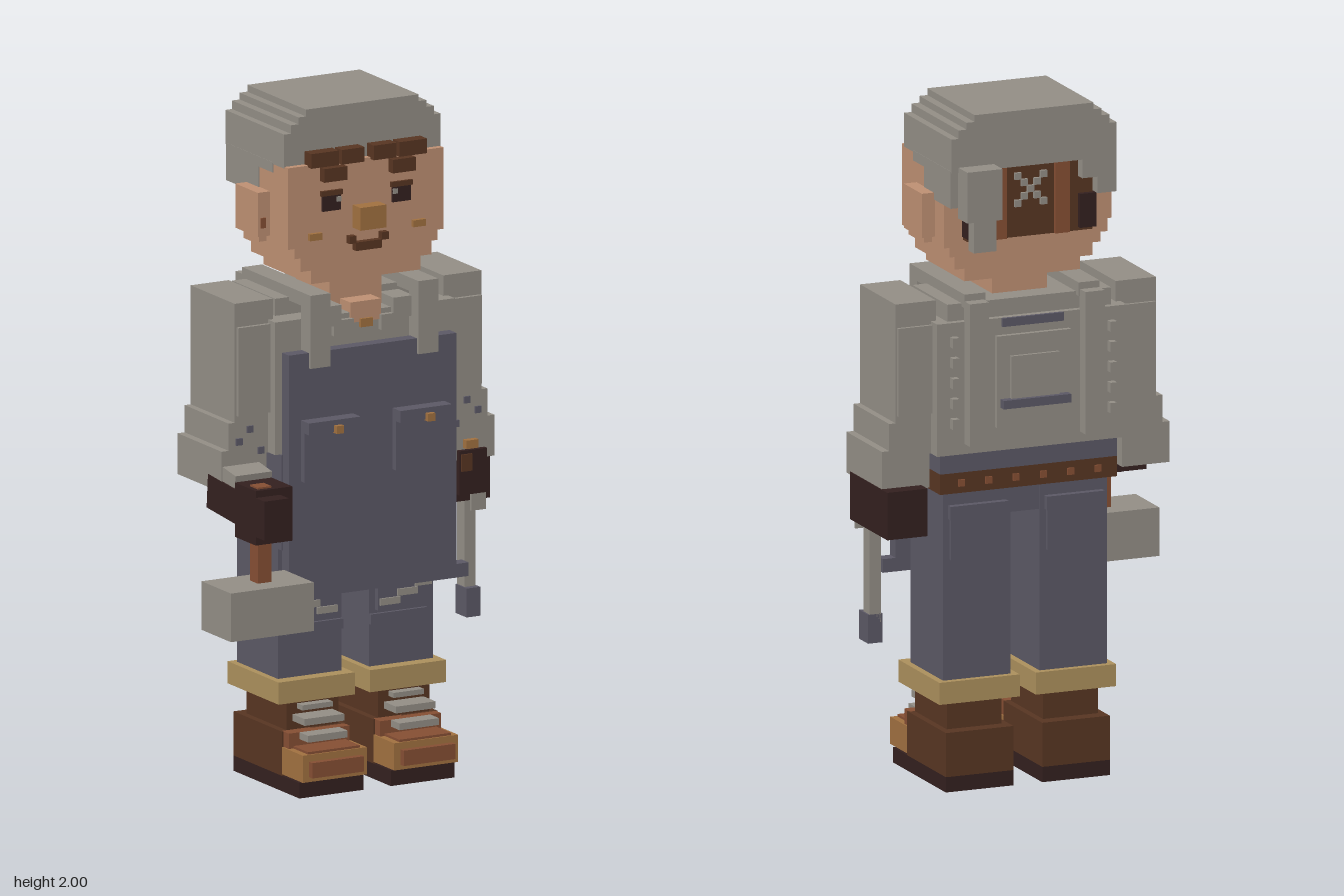
import * as THREE from 'three';

const mat = (name, color) => { const m = new THREE.MeshStandardMaterial({ color }); m.name = name; return m; };

export function createModel() {
  const model = new THREE.Group();
  model.name = 'blacksmith';
  const gray = mat('grayCloth', 0x928d85), skin = mat('skin', 0xbd8f72), slate = mat('slateCloth', 0x5b5865),
    dark = mat('darkLeather', 0x33201f), brown = mat('brownLeather', 0x573522), rust = mat('rustLeather', 0x854e33),
    wood = mat('amber', 0xa07040), khaki = mat('khakiCuff', 0xab8f5c);

  const group = (name) => { const g = new THREE.Group(); g.name = name; model.add(g); return g; };
  // Box given by its extents on each axis
  const box = (g, name, m, x0, x1, y0, y1, z0, z1) => {
    const mesh = new THREE.Mesh(new THREE.BoxGeometry(x1 - x0, y1 - y0, z1 - z0), m);
    mesh.position.set((x0 + x1) / 2, (y0 + y1) / 2, (z0 + z1) / 2);
    mesh.name = name;
    g.add(mesh);
    return mesh;
  };
  const CX = 0.055; // body centre line
  // Pair of boxes mirrored about the body centre, u measured outward
  const pair = (g, name, m, u0, u1, ...r) => {
    box(g, name + 'Left', m, CX + u0, CX + u1, ...r);
    box(g, name + 'Right', m, CX - u1, CX - u0, ...r);
  };

  // Boots and trousers
  const legs = group('legs');
  pair(legs, 'sole', dark, 0.045, 0.255, 0, 0.045, -0.21, 0.17);
  pair(legs, 'bootHeel', brown, 0.045, 0.255, 0.045, 0.175, -0.21, 0.07);
  pair(legs, 'bootToe', wood, 0.045, 0.255, 0.05, 0.13, 0.07, 0.19);
  pair(legs, 'bootVamp', rust, 0.05, 0.25, 0.13, 0.175, 0.06, 0.1);
  pair(legs, 'toeCap', rust, 0.065, 0.235, 0.065, 0.11, 0.19, 0.21);
  pair(legs, 'toeTop', rust, 0.065, 0.235, 0.11, 0.137, 0.07, 0.185);
  pair(legs, 'bootShaft', brown, 0.065, 0.235, 0.175, 0.265, -0.17, 0.06);
  [[0.2, 0.13], [0.155, 0.15]].forEach(([y, z]) => pair(legs, 'lace', gray, 0.085, 0.215, y, y + 0.02, 0.05, z));
  pair(legs, 'laceUpper', gray, 0.1, 0.2, 0.235, 0.25, 0.05, 0.09);
  pair(legs, 'trouserCuff', khaki, 0.025, 0.275, 0.26, 0.325, -0.21, 0.085);
  pair(legs, 'trouserLeg', slate, 0.045, 0.255, 0.32, 0.9, -0.19, 0.045);
  pair(legs, 'kneePad', slate, 0.065, 0.24, 0.49, 0.575, 0.045, 0.06);
  pair(legs, 'shinFold', slate, 0.045, 0.23, 0.45, 0.48, 0.045, 0.055);
  // Worn flecks on the knees
  for (let i = 0; i < 14; i++) {
    const u = 0.07 + ((i * 5) % 14) * 0.0115, y = 0.505 + (i * 7 % 3) * 0.022;
    pair(legs, 'kneeFleck', gray, u, u + 0.02, y, y + 0.02, 0.058, 0.066);
  }
  box(legs, 'hips', slate, -0.2, 0.31, 0.8, 0.9, -0.185, 0.045);
  pair(legs, 'backPocket', slate, 0.065, 0.235, 0.68, 0.82, -0.2, -0.19);
  pair(legs, 'backPocketFlap', slate, 0.06, 0.24, 0.8, 0.84, -0.21, -0.19);

  // Torso with belt and collar
  const torso = group('torso');
  box(torso, 'belt', brown, -0.22, 0.33, 0.88, 0.94, -0.215, 0.08);
  for (let i = 0; i < 6; i++) box(torso, 'beltStud', rust, -0.17 + i * 0.085, -0.15 + i * 0.085, 0.9, 0.92, -0.221, -0.213);
  box(torso, 'shirtTail', slate, -0.22, 0.33, 0.94, 1.01, -0.215, 0.08);
  box(torso, 'shirt', gray, -0.24, 0.35, 1.0, 1.39, -0.24, 0.1);
  box(torso, 'shoulderYoke', gray, -0.2, 0.31, 1.39, 1.44, -0.22, 0.03);
  pair(torso, 'collar', gray, 0.085, 0.15, 1.36, 1.42, -0.12, 0.115);
  pair(torso, 'collarTip', gray, 0.045, 0.11, 1.33, 1.375, 0.09, 0.115);
  box(torso, 'collarButton', wood, 0.035, 0.075, 1.345, 1.37, 0.09, 0.112);
  // Back panel
  box(torso, 'backPanel', gray, -0.06, 0.17, 1.07, 1.34, -0.255, -0.24);
  box(torso, 'backPouch', gray, -0.02, 0.13, 1.14, 1.28, -0.265, -0.255);
  box(torso, 'backBar', slate, -0.05, 0.16, 1.13, 1.155, -0.28, -0.25);
  box(torso, 'backSlot', slate, -0.04, 0.15, 1.365, 1.39, -0.25, -0.235);
  for (let i = 0; i < 5; i++) pair(torso, 'backStitch', gray, 0.235, 0.255, 1.08 + i * 0.06, 1.11 + i * 0.06, -0.262, -0.24);

  // Apron, straps and pockets
  const apron = group('apron');
  box(apron, 'apronPanel', slate, -0.22, 0.33, 0.6, 1.3, 0.105, 0.145);
  box(apron, 'apronHem', slate, -0.23, 0.37, 0.58, 0.62, 0.105, 0.145);
  pair(apron, 'apronSide', slate, 0.255, 0.28, 0.72, 1.0, 0.05, 0.11);
  pair(apron, 'strapFront', gray, 0.145, 0.21, 1.255, 1.47, 0.1, 0.155);
  pair(apron, 'strapTop', gray, 0.145, 0.21, 1.43, 1.47, -0.24, 0.105);
  pair(apron, 'strapBack', gray, 0.15, 0.21, 1.03, 1.45, -0.278, -0.235);
  pair(apron, 'pocket', slate, 0.065, 0.235, 0.925, 1.075, 0.145, 0.165);
  pair(apron, 'pocketFlap', slate, 0.065, 0.235, 1.07, 1.105, 0.145, 0.19);
  for (const x of [-0.085, 0.215]) box(apron, 'pocketButton', wood, x - 0.012, x + 0.012, 1.067, 1.09, 0.18, 0.205);

  // Sleeves
  const arms = group('arms');
  pair(arms, 'sleeve', gray, 0.28, 0.405, 1.0, 1.45, -0.195, 0.06);
  pair(arms, 'sleeveFold', gray, 0.28, 0.4, 1.12, 1.38, -0.205, 0.072);
  pair(arms, 'sleeveLower', gray, 0.3, 0.425, 0.95, 1.1, -0.195, 0.06);
  pair(arms, 'sleeveCuff', gray, 0.3, 0.448, 0.9, 1.02, -0.195, 0.06);
  for (let i = 0; i < 6; i++) {
    const u = 0.31 + (i * 4 % 6) * 0.018, y = 1.0 + (i % 3) * 0.033;
    pair(arms, 'sleeveFleck', slate, u, u + 0.02, y, y + 0.02, 0.058, 0.066);
  }
  pair(arms, 'cuffButton', wood, 0.345, 0.385, 0.935, 0.96, 0.06, 0.08);

  // Left glove holding a chisel
  box(arms, 'gloveLeft', dark, 0.38, 0.505, 0.77, 0.91, -0.24, 0.03);
  box(arms, 'gloveLeftWrist', dark, 0.38, 0.47, 0.8, 0.93, 0.02, 0.075);
  box(arms, 'gloveLeftPatch', brown, 0.385, 0.42, 0.87, 0.92, 0.072, 0.08);
  box(arms, 'chiselBlade', gray, 0.445, 0.48, 0.48, 0.83, -0.055, -0.01);
  box(arms, 'chiselSheath', slate, 0.44, 0.485, 0.42, 0.505, -0.055, 0.01);
  box(arms, 'chiselGuard', gray, 0.44, 0.487, 0.74, 0.83, 0.03, 0.038);

  // Right forearm reaching forward
  const fore = box(arms, 'forearmRight', gray, -0.39, -0.27, 0.89, 0.98, -0.08, 0.13);
  fore.rotation.x = 0.15;
  const band = box(arms, 'forearmGlove', dark, -0.395, -0.28, 0.83, 0.93, -0.02, 0.2);
  band.rotation.x = 0.08;
  box(arms, 'gloveRight', dark, -0.4, -0.28, 0.79, 0.95, 0.15, 0.27);
  box(arms, 'gloveRightKnuckles', dark, -0.4, -0.32, 0.815, 0.93, 0.26, 0.32);
  box(arms, 'sleeveTrim', wood, -0.31, -0.29, 0.93, 0.96, 0.06, 0.13);

  // Hammer
  const hammer = group('hammer');
  box(hammer, 'hammerHandle', rust, -0.385, -0.34, 0.66, 0.955, 0.21, 0.255);
  box(hammer, 'hammerHead', gray, -0.51, -0.238, 0.53, 0.673, 0.15, 0.32);

  // Head and neck
  const head = group('head');
  box(head, 'neck', skin, -0.03, 0.14, 1.37, 1.52, -0.15, 0.045);
  box(head, 'neckFront', skin, 0.005, 0.105, 1.36, 1.42, 0.0, 0.104);
  [[0.18, 1.49, 1.53, -0.17], [0.215, 1.53, 1.57, -0.18], [0.235, 1.57, 1.6, -0.19], [0.255, 1.6, 1.84, -0.195]]
    .forEach(([w, y0, y1, z]) => box(head, 'face', skin, CX - w, CX + w, y0, y1, z, 0.105));
  pair(head, 'ear', skin, 0.255, 0.295, 1.62, 1.75, -0.13, 0);
  pair(head, 'earLobe', skin, 0.255, 0.28, 1.6, 1.63, -0.11, -0.02);
  box(head, 'earMark', rust, -0.232, -0.215, 1.645, 1.675, -0.005, 0.004);

  // Facial features
  pair(head, 'eye', dark, 0.085, 0.145, 1.7, 1.75, 0.103, 0.112);
  pair(head, 'eyeGlint', gray, 0.085, 0.1, 1.725, 1.74, 0.106, 0.115);
  pair(head, 'eyelid', brown, 0.08, 0.15, 1.745, 1.76, 0.105, 0.114);
  pair(head, 'eyebrow', brown, 0.075, 0.15, 1.79, 1.83, 0.1, 0.13);
  box(head, 'nose', wood, 0.012, 0.097, 1.64, 1.707, 0.1, 0.15);
  pair(head, 'cheekMark', wood, 0.15, 0.19, 1.62, 1.64, 0.1, 0.118);
  box(head, 'mouth', brown, 0.012, 0.097, 1.575, 1.6, 0.1, 0.125);
  pair(head, 'mouthCorner', brown, 0.042, 0.064, 1.598, 1.62, 0.1, 0.125);

  // Hair
  for (const [a, b] of [[0.1, 0.19], [0.015, 0.09]]) pair(head, 'fringe', brown, a, b, 1.835, 1.878, 0.075, 0.125);
  box(head, 'backHair', brown, -0.14, 0.25, 1.62, 1.85, -0.225, -0.19);
  pair(head, 'hairLock', rust, 0.075, 0.12, 1.62, 1.83, -0.235, -0.22);
  pair(head, 'hairSide', dark, 0.15, 0.2, 1.63, 1.73, -0.24, -0.2);
  // Crossed knot at the back
  for (let i = -2; i <= 2; i++) for (const s of [-1, 1])
    box(head, 'bandKnot', gray, CX + i * 0.02 - 0.01, CX + i * 0.02 + 0.01, 1.75 + s * i * 0.02, 1.77 + s * i * 0.02, -0.235, -0.222);

  // Cap built as stepped layers
  const cap = group('cap');
  [[0.185, 1.98, 2.0], [0.21, 1.96, 1.98], [0.235, 1.935, 1.96], [0.257, 1.835, 1.935]]
    .forEach(([w, y0, y1]) => box(cap, 'capLayer', gray, CX - w, CX + w, y0, y1, -0.255, 0.085));
  pair(cap, 'capFlap', gray, 0.2, 0.258, 1.73, 1.84, -0.25, -0.06);
  pair(cap, 'capBackStep', gray, 0.15, 0.21, 1.78, 1.84, -0.255, -0.19);
  pair(cap, 'capTemple', gray, 0.235, 0.258, 1.81, 1.84, -0.06, 0.02);
  box(cap, 'capTail', gray, 0.18, 0.29, 1.7, 1.85, -0.318, -0.25);
  box(cap, 'capTailTip', gray, 0.2, 0.27, 1.61, 1.7, -0.318, -0.28);
  return model;
}
